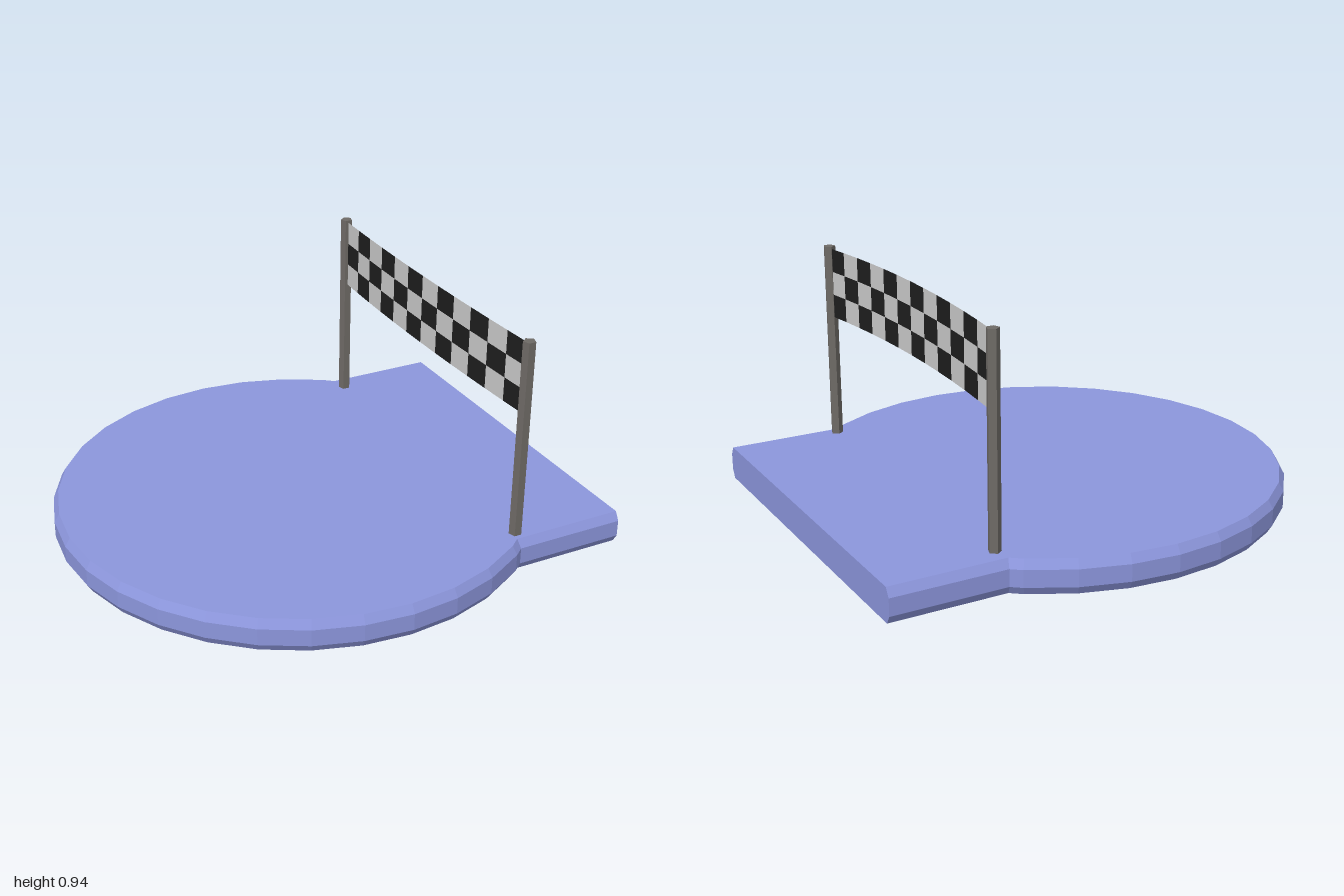
import * as THREE from 'three';

const CX = -0.03, SIDES = 32;

// Outline of disc plus straight strip, drawn in by d, counter-clockwise from above
function outline(d) {
  const r = 0.97 - d, w = 0.775 - d;
  const rim = k => {
    const a = k * Math.PI * 2 / SIDES;
    return [CX + r * Math.cos(a), -r * Math.sin(a)];
  };
  // point where the disc edge meets the strip edge
  const [p, q] = [rim(4), rim(5)];
  const jx = THREE.MathUtils.mapLinear(-w, p[1], q[1], p[0], q[0]);
  const pts = [[1, -w], [jx, -w]];
  for (let k = 5; k <= SIDES - 5; k++) pts.push(rim(k));
  pts.push([jx, w], [1, w]);
  return pts;
}

// Slab with bevelled rim: stacked outlines closed by a fan on each end
function slabGeometry() {
  const levels = [[0, 0.02], [0.033, 0], [0.1, 0], [0.134, 0.02]];
  const loops = levels.map(([y, d]) => outline(d).map(([x, z]) => [x, y, z]));
  const n = loops[0].length, top = loops.length - 1, v = [];
  for (let i = 0; i < n; i++) {
    const j = (i + 1) % n;
    for (let l = 0; l < top; l++) {
      const a = loops[l][i], b = loops[l][j], c = loops[l + 1][j], e = loops[l + 1][i];
      v.push(...a, ...b, ...c, ...a, ...c, ...e);
    }
    v.push(CX, levels[top][0], 0, ...loops[top][i], ...loops[top][j]);
    v.push(CX, 0, 0, ...loops[0][j], ...loops[0][i]);
  }
  return toGeometry(v);
}

function toGeometry(v) {
  const g = new THREE.BufferGeometry();
  g.setAttribute('position', new THREE.Float32BufferAttribute(v, 3));
  g.computeVertexNormals();
  return g;
}

// Every second square of the bowed banner
function checkerGeometry(parity) {
  const COLS = 12, ROWS = 3, v = [];
  const point = (c, r) => {
    const s = c / COLS, bow = 1 - (2 * s - 1) ** 2;
    return [0.555 - 0.031 * bow, 0.643 + 0.287 * r / ROWS + 0.01 * bow, 0.705 - 1.375 * s];
  };
  for (let c = 0; c < COLS; c++) {
    for (let r = 0; r < ROWS; r++) {
      if ((c + r) % 2 !== parity) continue;
      const a = point(c, r), b = point(c + 1, r), d = point(c + 1, r + 1), e = point(c, r + 1);
      v.push(...a, ...b, ...d, ...a, ...d, ...e);
    }
  }
  return toGeometry(v);
}

export function createModel() {
  const model = new THREE.Group();
  model.name = 'finishPlatform';
  const add = (parent, name, geometry, color, options = {}) => {
    const material = new THREE.MeshStandardMaterial({ color, ...options });
    const mesh = new THREE.Mesh(geometry, material);
    mesh.name = name;
    parent.add(mesh);
    return mesh;
  };

  // Round platform with its exit strip
  add(model, 'platform', slabGeometry(), 0x8c96dc, { flatShading: true });

  // Five-sided poles
  const poleGeometry = new THREE.CylinderGeometry(0.025, 0.025, 0.82, 5).rotateY(Math.PI);
  for (const [name, z] of [['frontPole', 0.716], ['backPole', -0.686]]) {
    add(model, name, poleGeometry, 0x6e6a66, { flatShading: true }).position.set(0.556, 0.53, z);
  }

  // Checkered banner
  const banner = new THREE.Group();
  banner.name = 'banner';
  add(banner, 'darkSquares', checkerGeometry(0), 0x1e1e1e, { side: THREE.DoubleSide });
  add(banner, 'lightSquares', checkerGeometry(1), 0xcccccc, { side: THREE.DoubleSide });
  model.add(banner);

  return model;
}
